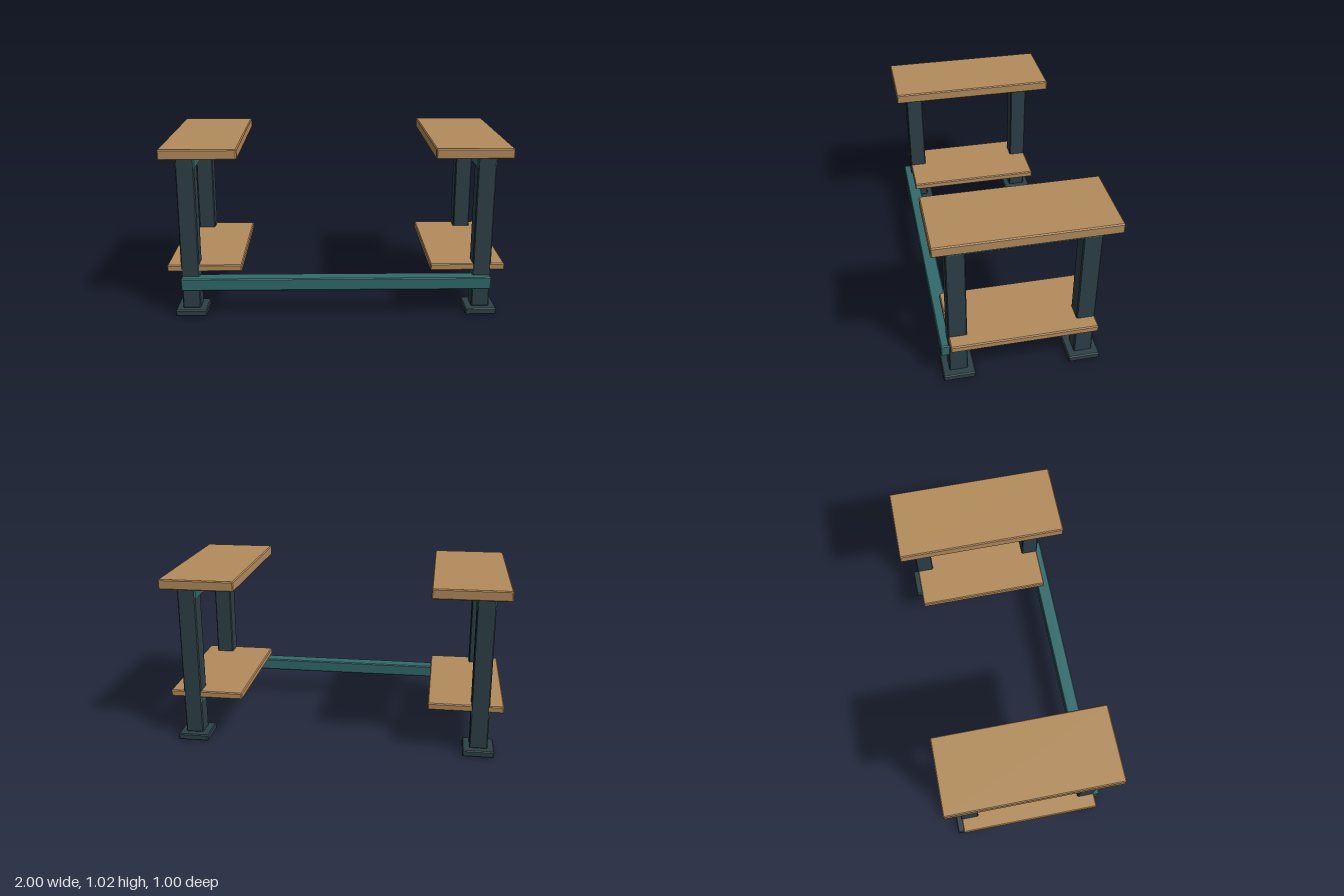
import * as THREE from 'three';
import { ConvexGeometry } from 'three/addons/geometries/ConvexGeometry.js';

// Box with small flat chamfers on every edge
function chamferBox(w, h, d, c) {
  const pts = [];
  for (const x of [-1, 1]) for (const y of [-1, 1]) for (const z of [-1, 1]) {
    const p = [x * w / 2, y * h / 2, z * d / 2];
    const s = [x, y, z];
    for (let keep = 0; keep < 3; keep++) {
      pts.push(new THREE.Vector3(...p.map((v, i) => (i === keep ? v : v - s[i] * c))));
    }
  }
  return new ConvexGeometry(pts);
}

export function createModel() {
  const wood = new THREE.MeshStandardMaterial({ color: 0xb48c5c });
  wood.name = 'wood';
  const teal = new THREE.MeshStandardMaterial({ color: 0x326a6c });
  teal.name = 'teal paint';
  const slate = new THREE.MeshStandardMaterial({ color: 0x2e4048 });
  slate.name = 'dark slate paint';

  const model = new THREE.Group();
  model.name = 'benchFrame';

  // Adds a part from its lower and upper limits in y
  function add(parent, name, mat, w, d, y0, y1, x, z, c = 0.006) {
    const mesh = new THREE.Mesh(chamferBox(w, y1 - y0, d, c), mat);
    mesh.name = name;
    mesh.position.set(x, (y0 + y1) / 2, z);
    parent.add(mesh);
  }

  for (const side of [-1, 1]) {
    const stand = new THREE.Group();
    stand.name = side > 0 ? 'leftStand' : 'rightStand';
    model.add(stand);
    const legX = side * 0.865;
    const boardX = side * 0.779;

    // Boards
    add(stand, 'topBoard', wood, 0.442, 1.0, 0.964, 1.024, boardX, 0);
    add(stand, 'lowerShelf', wood, 0.442, 0.838, 0.27, 0.311, boardX, 0);

    // Rails running from front leg to back leg
    add(stand, 'topRail', teal, 0.111, 0.838, 0.889, 0.964, legX, 0);
    add(stand, 'shelfRail', teal, 0.111, 0.838, 0.233, 0.3, legX, 0);

    // Legs and feet
    for (const end of [-1, 1]) {
      const prefix = end > 0 ? 'front' : 'back';
      add(stand, prefix + 'Leg', slate, 0.107, 0.107, 0.038, 0.96, legX, end * 0.367);
      add(stand, prefix + 'Foot', slate, 0.186, 0.186, 0, 0.039, legX, end * 0.367);
    }
  }

  // Long stretcher joining the two stands at the front
  add(model, 'stretcher', teal, 1.834, 0.086, 0.165, 0.24, 0, 0.422);

  return model;
}
